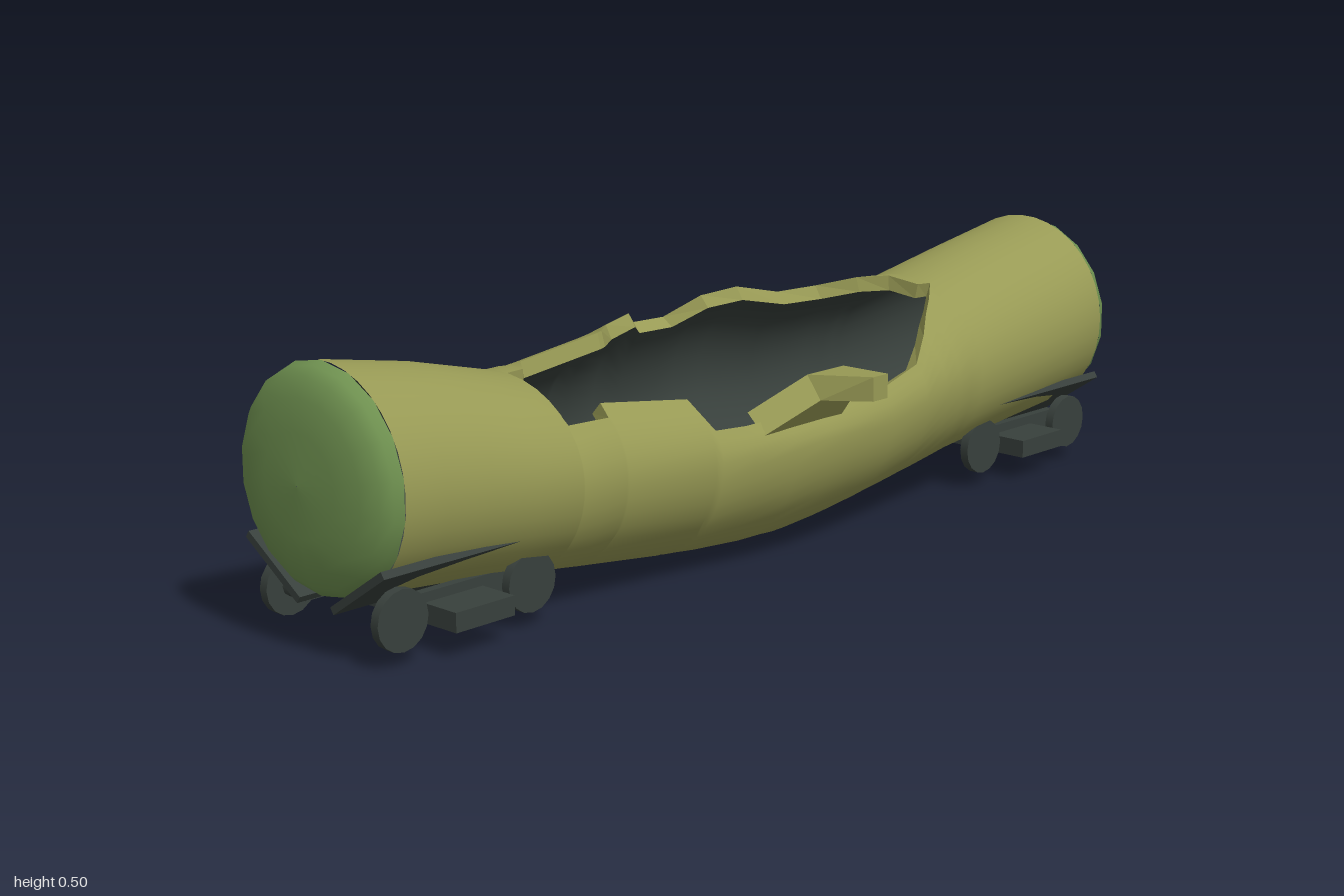
import * as THREE from 'three';

const olive = new THREE.MeshStandardMaterial({ name: 'olive shell', color: 0x989a55 });
const oliveRim = new THREE.MeshStandardMaterial({ name: 'olive torn edge', color: 0x989a55, side: THREE.DoubleSide });
const green = new THREE.MeshStandardMaterial({ name: 'green ends', color: 0x6f9150 });
const dark = new THREE.MeshStandardMaterial({ name: 'dark iron', color: 0x38403c });

const CX = -0.015, WALL = 0.03, SEG = 36;

// Tank sections: z, left x, right x, centre y, bottom y, top y on the -x side, top y on the +x side
const sections = [
  [-0.94, -0.215, 0.185, 0.297, 0.097, 0.497, 0.497],
  [-0.75, -0.215, 0.185, 0.270, 0.080, 0.465, 0.465],
  [-0.55, -0.222, 0.182, 0.245, 0.058, 0.425, 0.425],
  [-0.40, -0.270, 0.200, 0.235, 0.038, 0.435, 0.380],
  [-0.20, -0.330, 0.222, 0.225, 0.014, 0.470, 0.350],
  [-0.05, -0.345, 0.237, 0.220, 0.001, 0.480, 0.340],
  [0.10, -0.318, 0.232, 0.220, 0.004, 0.450, 0.340],
  [0.25, -0.265, 0.213, 0.225, 0.018, 0.430, 0.375],
  [0.40, -0.228, 0.198, 0.232, 0.035, 0.410, 0.400],
  [0.55, -0.216, 0.190, 0.245, 0.055, 0.412, 0.412],
  [0.75, -0.215, 0.185, 0.272, 0.080, 0.462, 0.462],
  [0.94, -0.215, 0.185, 0.297, 0.097, 0.497, 0.497],
];

// Torn opening: z, left edge x, right edge x (equal where the tank is closed)
const opening = [
  [-0.94, 0.045, 0.045], [-0.85, 0.045, 0.045], [-0.75, 0.045, 0.045], [-0.65, 0.045, 0.045], [-0.55, 0.045, 0.045],
  [-0.53, 0.03, 0.06], [-0.51, -0.03, 0.075], [-0.47, -0.08, 0.1], [-0.42, -0.145, 0.135], [-0.35, -0.185, 0.175],
  [-0.23, -0.185, 0.195], [-0.17, -0.225, 0.2], [-0.12, -0.28, 0.2], [-0.03, -0.28, 0.2], [0.06, -0.195, 0.2],
  [0.16, -0.155, 0.2], [0.235, -0.09, 0.195], [0.25, -0.085, 0.14], [0.45, -0.075, 0.125], [0.455, -0.07, 0.15],
  [0.5, -0.015, 0.15], [0.55, 0, 0.15],
  [0.552, 0.075, 0.075], [0.65, 0.075, 0.075], [0.75, 0.075, 0.075], [0.85, 0.075, 0.075], [0.94, 0.075, 0.075],
];

function sectionAt(z) {
  let i = 0;
  while (i < sections.length - 2 && z > sections[i + 1][0]) i++;
  const a = sections[i], b = sections[i + 1], t = (z - a[0]) / (b[0] - a[0]);
  return a.map((v, k) => THREE.MathUtils.lerp(v, b[k], t));
}

// One ring from the left edge, under the belly, to the right edge
function ring([z, xl, xr], inset) {
  const [, left, right, cy, bottom, topL, topR] = sectionAt(z);
  const edge = x => Math.acos((x - CX) / (x < CX ? CX - left : right - CX));
  const a0 = edge(xl), a1 = edge(xr) + Math.PI * 2, pts = [];
  for (let i = 0; i <= SEG; i++) {
    const a = a0 + (a1 - a0) * i / SEG, c = Math.cos(a), s = Math.sin(a);
    const w = (c < 0 ? CX - left : right - CX) - inset;
    const h = (s < 0 ? cy - bottom : (c < 0 ? topL : topR) - cy) - inset;
    pts.push([CX + w * c, cy + h * s, z]);
  }
  return pts;
}

// Skin over rows of points
function skin(rows, flip = false) {
  const n = rows[0].length, idx = [];
  for (let r = 0; r < rows.length - 1; r++) for (let i = 0; i < n - 1; i++) {
    const a = r * n + i, b = a + 1, c = a + n, d = c + 1;
    if (flip) idx.push(a, c, b, b, c, d);
    else idx.push(a, b, c, b, d, c);
  }
  const g = new THREE.BufferGeometry();
  g.setAttribute('position', new THREE.Float32BufferAttribute(rows.flat(2), 3));
  g.setIndex(idx);
  g.computeVertexNormals();
  return g;
}

// Shares normals across the seam of closed rings
function blendSeam(g) {
  const nor = g.attributes.normal, p = new THREE.Vector3(), q = new THREE.Vector3();
  opening.forEach(([, xl, xr], r) => {
    if (xl !== xr) return;
    const a = r * (SEG + 1), b = a + SEG;
    p.fromBufferAttribute(nor, a).add(q.fromBufferAttribute(nor, b)).normalize();
    nor.setXYZ(a, p.x, p.y, p.z);
    nor.setXYZ(b, p.x, p.y, p.z);
  });
  return g;
}

function add(parent, name, geometry, material, x = 0, y = 0, z = 0) {
  const m = new THREE.Mesh(geometry, material);
  m.name = name;
  m.position.set(x, y, z);
  parent.add(m);
  return m;
}

function makeBogie(z) {
  const bogie = new THREE.Group();
  bogie.name = 'bogie';
  bogie.position.set(-0.02, 0, z);
  add(bogie, 'crossBeam', new THREE.BoxGeometry(0.386, 0.035, 0.13), dark, 0, 0.067, 0);
  add(bogie, 'pivot', new THREE.BoxGeometry(0.07, 0.04, 0.09), dark, 0, 0.095, 0);
  for (const s of [-1, 1]) {
    add(bogie, 'sideFrame', new THREE.BoxGeometry(0.018, 0.042, 0.29), dark, s * 0.105, 0.081, 0);
    for (const e of [-1, 1]) {
      const wheel = new THREE.CylinderGeometry(0.054, 0.054, 0.018, 16).rotateZ(Math.PI / 2);
      add(bogie, 'wheel', wheel, dark, s * 0.144, 0.081, e * 0.143);
      const hub = new THREE.CylinderGeometry(0.02, 0.02, 0.03, 10).rotateZ(Math.PI / 2);
      add(bogie, 'hub', hub, dark, s * 0.125, 0.081, e * 0.143);
    }
  }
  return bogie;
}

export function createModel() {
  const model = new THREE.Group();
  model.name = 'wreckedTankWagon';

  // Sagging tank: outer skin, dark lining and the thick torn edge between them
  const outer = opening.map(o => ring(o, 0)), inner = opening.map(o => ring(o, WALL));
  add(model, 'tankShell', blendSeam(skin(outer)), olive);
  add(model, 'tankLining', blendSeam(skin(inner, true)), dark);
  const first = opening.findIndex(o => o[1] !== o[2]) - 1;
  const last = opening.findLastIndex(o => o[1] !== o[2]) + 1;
  for (const k of [0, SEG]) {
    const rows = [];
    for (let r = first; r <= last; r++) rows.push([outer[r][k], inner[r][k]]);
    const rim = skin(rows, k === 0).toNonIndexed();
    rim.computeVertexNormals();
    add(model, 'tornEdge', rim, oliveRim);
  }

  // Domed ends
  const dome = [[0.2, 0], [0.194, 0.018], [0.178, 0.034], [0.145, 0.047], [0.09, 0.056], [0.001, 0.06]]
    .map(p => new THREE.Vector2(...p));
  for (const s of [-1, 1]) {
    const cap = add(model, 'endCap', new THREE.LatheGeometry(dome, 18), green, CX, 0.297, s * 0.94);
    cap.rotation.x = s * Math.PI / 2;
  }

  // Strip of shell bent outwards: upper x,y, lower x,y, z range per station
  const stations = [
    [0.175, 0.295, 0.215, 0.258, -0.08, 0.13],
    [0.225, 0.355, 0.257, 0.312, -0.075, 0.025],
    [0.343, 0.361, 0.343, 0.316, -0.06, -0.02],
  ].map(([ux, uy, lx, ly, z0, z1]) =>
    [[ux, uy, z0], [ux, uy, z1], [lx, ly, z1], [lx, ly, z0], [ux, uy, z0]]);
  const tip = stations[2];
  const stripParts = [skin(stations), skin([[tip[0], tip[1]], [tip[3], tip[2]]])];
  for (const part of stripParts) {
    const g = part.toNonIndexed();
    g.computeVertexNormals();
    add(model, 'bentStrip', g, oliveRim);
  }

  // Bogies and the sloping saddle plates under each end
  for (const s of [-1, 1]) {
    model.add(makeBogie(s * 0.766));
    for (const e of [-1, 1]) {
      const plate = add(model, 'saddlePlate', new THREE.BoxGeometry(0.158, 0.014, 0.36), dark,
        -0.017 + e * 0.109, 0.132, s * 0.79);
      plate.rotation.z = e * 0.59;
    }
  }
  return model;
}
